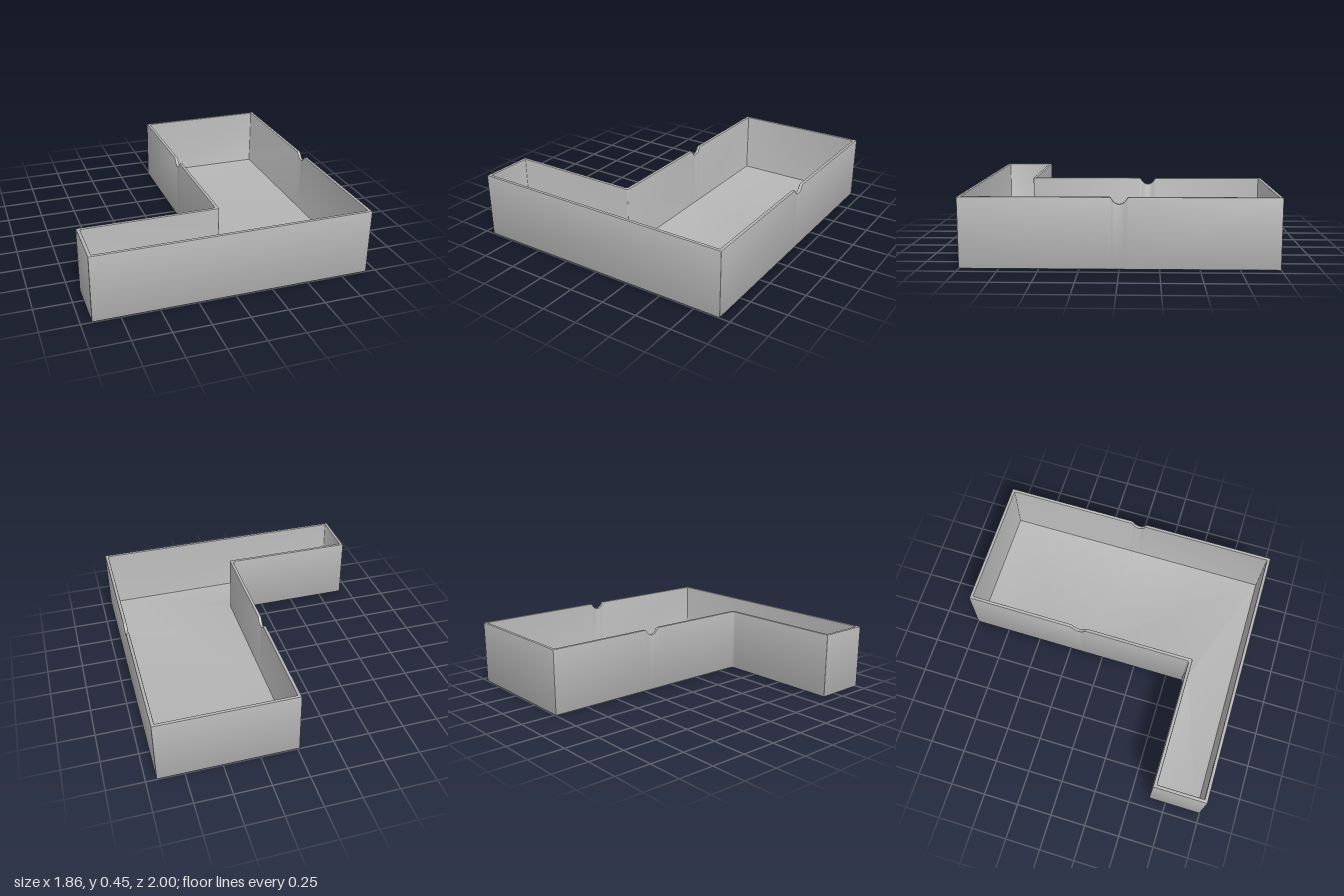
import * as THREE from 'three';
import { toCreasedNormals } from 'three/addons/utils/BufferGeometryUtils.js';

// L-shaped footprint [x, z], anticlockwise from above
const CORNERS = [[0.93, 1], [0.93, -1], [-0.015, -1], [-0.015, 0.63], [-0.93, 0.63], [-0.93, 1]];

// Rim notches: edge index, centre z and direction of travel along z
const NOTCHES = { 0: { z: 0, dir: -1 }, 2: { z: -0.18, dir: 1 } };
const HALF_NOTCH = [[-0.06, 0], [-0.053, 0.004], [-0.046, 0.013], [-0.036, 0.027], [-0.024, 0.037], [-0.012, 0.042]];
const NOTCH = [...HALF_NOTCH, [0, 0.044], ...HALF_NOTCH.map(([t, d]) => [-t, d]).reverse()];

// Wall section from the underside, over the rim, to the floor: [inset, y, follows notch]
const SECTION = [
  [0.007, 0, 0], [0.002, 0.002, 0], [0, 0.007, 0],
  [0, 0.446, 1], [0.002, 0.451, 1], [0.006, 0.453, 1],
  [0.018, 0.453, 1], [0.022, 0.451, 1], [0.024, 0.446, 1],
  [0.024, 0.027, 0], [0.026, 0.022, 0], [0.031, 0.02, 0],
];

// One closed ring of points [x, z, notch depth] at a given inset
function ring(inset) {
  const points = [];
  const count = CORNERS.length;
  CORNERS.forEach(([x, z], i) => {
    const before = CORNERS[(i + count - 1) % count];
    const after = CORNERS[(i + 1) % count];
    const d1 = [Math.sign(x - before[0]), Math.sign(z - before[1])];
    const d2 = [Math.sign(after[0] - x), Math.sign(after[1] - z)];
    const cx = x + inset * (d1[1] + d2[1]);
    const cz = z - inset * (d1[0] + d2[0]);
    const convex = d1[1] * d2[0] - d1[0] * d2[1] < 0;
    const r = convex ? 0.02 - inset * 0.4 : 0.003;
    // Rounded corner
    for (let k = 0; k <= 5; k++) {
      const a = (k / 5) * Math.PI / 2;
      const s = Math.sin(a) - 1, c = 1 - Math.cos(a);
      points.push([cx + r * (d1[0] * s + d2[0] * c), cz + r * (d1[1] * s + d2[1] * c), 0]);
    }
    // Notch along the following edge
    const notch = NOTCHES[i];
    if (notch) NOTCH.forEach(([t, depth]) => points.push([cx, notch.z + notch.dir * t, depth]));
  });
  return points;
}

function trayGeometry() {
  const positions = [], indices = [];
  const rings = SECTION.map(([inset]) => ring(inset));
  const n = rings[0].length;
  rings.forEach((points, j) => points.forEach(([x, z, depth]) =>
    positions.push(x, SECTION[j][1] - depth * SECTION[j][2], z)));

  // Wall surfaces
  for (let j = 0; j < rings.length - 1; j++) {
    for (let i = 0; i < n; i++) {
      const k = (i + 1) % n;
      const a = j * n + i, b = j * n + k, c = b + n, d = a + n;
      indices.push(a, b, c, a, c, d);
    }
  }

  // Underside and inner floor
  const cap = (j, up) => {
    const outline = rings[j].map(([x, z]) => new THREE.Vector2(x, -z));
    THREE.ShapeUtils.triangulateShape(outline, []).forEach(([a, b, c]) => {
      const o = j * n;
      indices.push(o + a, o + (up ? b : c), o + (up ? c : b));
    });
  };
  cap(0, false);
  cap(rings.length - 1, true);

  const geometry = new THREE.BufferGeometry();
  geometry.setAttribute('position', new THREE.Float32BufferAttribute(positions, 3));
  geometry.setIndex(indices);
  return toCreasedNormals(geometry, 0.6);
}

export function createModel() {
  const group = new THREE.Group();
  group.name = 'cornerTray';
  const grey = new THREE.MeshStandardMaterial({ color: 0xb4b4b4 });
  grey.name = 'grey';
  const tray = new THREE.Mesh(trayGeometry(), grey);
  tray.name = 'trayShell';
  group.add(tray);
  return group;
}
